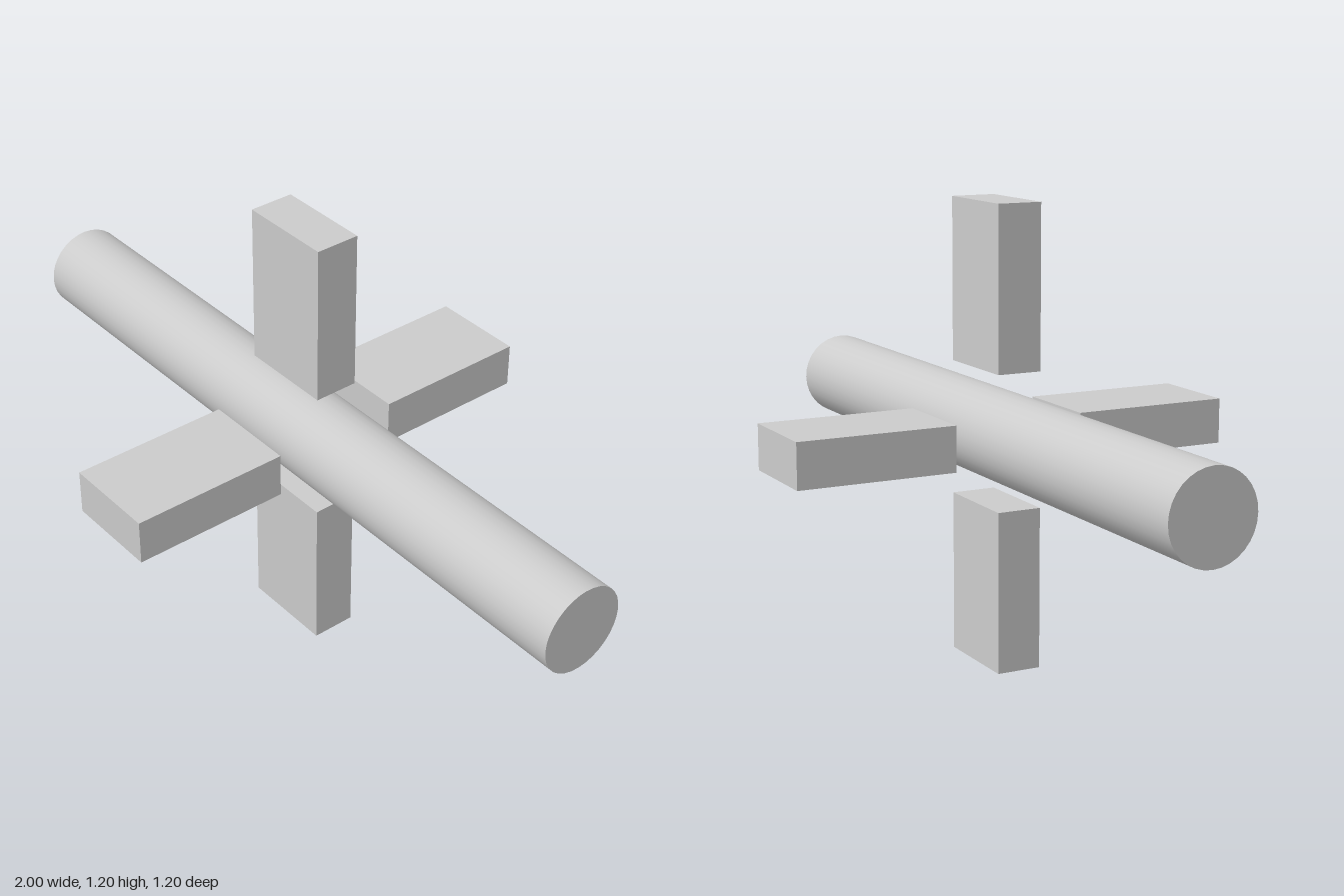
import * as THREE from 'three';

const AXIS_Y = 0.6;      // height of the shaft's axis
const SHAFT_RADIUS = 0.115;
const INNER = 0.176;     // radial start of each paddle
const OUTER = 0.6;       // radial end of each paddle

export function createModel() {
  const model = new THREE.Group();
  model.name = 'paddleShaft';
  const material = new THREE.MeshStandardMaterial({ color: 0xcccccc });

  // Long round shaft along x
  const shaftGeometry = new THREE.CylinderGeometry(SHAFT_RADIUS, SHAFT_RADIUS, 2, 32);
  shaftGeometry.rotateZ(Math.PI / 2);
  const shaft = new THREE.Mesh(shaftGeometry, material);
  shaft.name = 'shaft';
  shaft.position.y = AXIS_Y;
  model.add(shaft);

  // Four floating paddles, a quarter turn apart around the shaft
  const paddleGeometry = new THREE.BoxGeometry(0.254, OUTER - INNER, 0.119);
  paddleGeometry.translate(0, (INNER + OUTER) / 2, 0);
  ['topPaddle', 'frontPaddle', 'bottomPaddle', 'backPaddle'].forEach((name, i) => {
    const paddle = new THREE.Mesh(paddleGeometry, material);
    paddle.name = name;
    paddle.position.y = AXIS_Y;
    paddle.rotation.x = (i * Math.PI) / 2;
    model.add(paddle);
  });

  return model;
}
